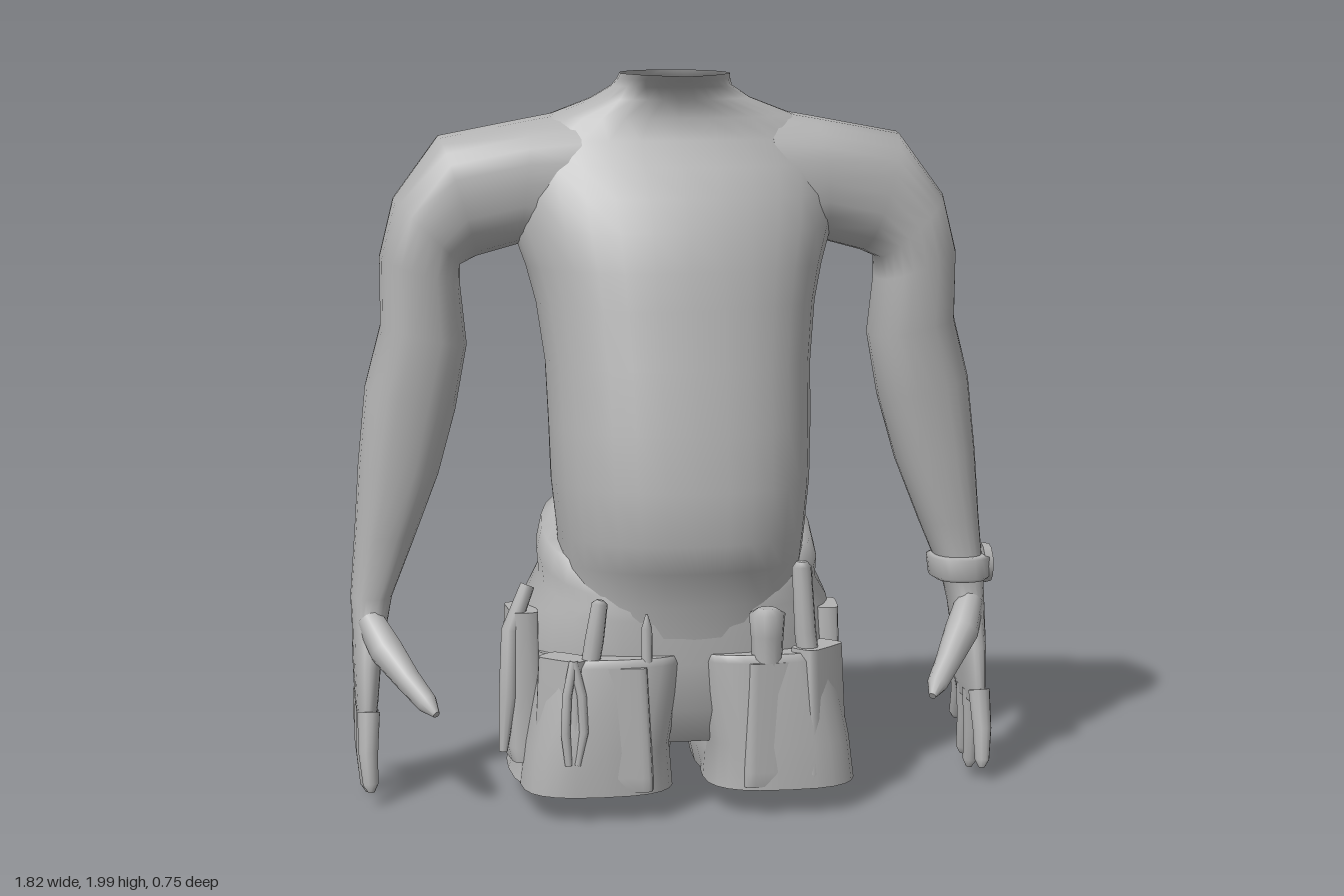
import * as THREE from 'three';

const V = (x, y, z) => new THREE.Vector3(x, y, z);
const grey = new THREE.MeshStandardMaterial({ color: 0xb2b2b2, side: THREE.DoubleSide });
grey.name = 'plain grey';

const pw = (v, n) => Math.sign(v) * Math.pow(Math.abs(v), 2 / n);

// Skin through superellipse rings { c, a, b, n, nf }; nf shapes the front half
function loft(rings, capStart = true, capEnd = true, seg = 24) {
  const pos = [], idx = [];
  const addRing = ({ c, a, b, n = 2.2, nf = n }) => {
    for (let j = 0; j < seg; j++) {
      const t = (j / seg) * Math.PI * 2, s = Math.sin(t), e = s > 0 ? nf : n;
      const p = c.clone().addScaledVector(a, pw(Math.cos(t), e)).addScaledVector(b, pw(s, e));
      pos.push(p.x, p.y, p.z);
    }
  };
  rings.forEach(addRing);
  for (let i = 0; i < rings.length - 1; i++) {
    for (let j = 0; j < seg; j++) {
      const p = i * seg + j, q = i * seg + ((j + 1) % seg);
      idx.push(p, q, p + seg, q, q + seg, p + seg);
    }
  }
  const cap = (ring, flip) => {
    const base = pos.length / 3;
    addRing(ring);
    pos.push(ring.c.x, ring.c.y, ring.c.z);
    for (let j = 0; j < seg; j++) {
      const p = base + j, q = base + ((j + 1) % seg);
      if (flip) idx.push(p, base + seg, q); else idx.push(p, q, base + seg);
    }
  };
  if (capStart) cap(rings[0], true);
  if (capEnd) cap(rings[rings.length - 1], false);
  const g = new THREE.BufferGeometry();
  g.setAttribute('position', new THREE.Float32BufferAttribute(pos, 3));
  g.setIndex(idx);
  g.computeVertexNormals();
  return g;
}

// Level ring: y, x range, z range, front-to-back tilt, roundness
const level = (y, x0, x1, zb, zf, tilt = 0, n = 2.3, nf = n) => ({
  c: V((x0 + x1) / 2, y, (zb + zf) / 2), a: V((x1 - x0) / 2, 0, 0), b: V(0, tilt, (zf - zb) / 2), n, nf,
});
// Limb ring from an inner to an outer point
const limb = ([xi, yi, xo, yo, zb, zf]) => ({
  c: V((xi + xo) / 2, (yi + yo) / 2, (zb + zf) / 2),
  a: V((xo - xi) / 2, (yo - yi) / 2, 0), b: V(0, 0, (zf - zb) / 2), n: 2.4,
});

// Round tapering rod through points, with [x, y, z, radius] entries
function rod(pts, seg = 10) {
  const p = pts.map((q) => V(q[0], q[1], q[2]));
  const rings = pts.map((q, i) => {
    const d = p[Math.min(i + 1, p.length - 1)].clone().sub(p[Math.max(i - 1, 0)]).normalize();
    const b = d.clone().cross(V(1, 0, 0)).normalize();
    const a = b.clone().cross(d);
    return { c: p[i], a: a.multiplyScalar(q[3]), b: b.multiplyScalar(q[3]), n: 2 };
  });
  return loft(rings, true, true, seg);
}

function mirror(geo) {
  const g = geo.clone().scale(-1, 1, 1), ix = g.index.array;
  for (let i = 0; i < ix.length; i += 3) [ix[i + 1], ix[i + 2]] = [ix[i + 2], ix[i + 1]];
  return g;
}

export function createModel() {
  const model = new THREE.Group();
  model.name = 'workerTorso';
  const add = (name, geo, parent = model) => {
    const m = new THREE.Mesh(geo, grey);
    m.name = name;
    parent.add(m);
    return m;
  };
  const pair = (name, geo) => {
    add(name + 'Left', geo);
    add(name + 'Right', mirror(geo));
  };

  // Torso with neck and jaw lip, open at the top: y, half width, back z, front z, front roundness
  add('torso', loft([
    [2.0, 0.15, -0.23, 0.2, 1.4], [1.985, 0.155, -0.235, 0.16, 1.5], [1.965, 0.165, -0.25, 0.09, 2],
    [1.93, 0.22, -0.27, 0.055, 2], [1.88, 0.35, -0.29, 0.045, 2.2], [1.82, 0.44, -0.32, 0.06, 2.3],
    [1.75, 0.46, -0.35, 0.11, 2.2], [1.67, 0.46, -0.365, 0.165, 2.1], [1.58, 0.445, -0.375, 0.21, 2.1],
    [1.48, 0.41, -0.355, 0.245, 2.2], [1.38, 0.385, -0.325, 0.265, 2.3], [1.22, 0.365, -0.28, 0.305, 2.3],
    [1.05, 0.36, -0.25, 0.34, 2.3], [0.9, 0.355, -0.26, 0.365, 2.3], [0.76, 0.34, -0.26, 0.375, 2.3],
    [0.68, 0.335, -0.26, 0.345, 2.3], [0.58, 0.33, -0.25, 0.3, 2.3], [0.4, 0.33, -0.2, 0.28, 2.3],
  ].map(([y, w, zb, zf, nf]) => level(y, -w, w, zb, zf, 0, 2.2, nf)), false, true, 32));

  // Arms from the shoulders down through the palms
  pair('arm', loft([
    [0.28, 1.5, 0.26, 1.9, -0.33, 0.06], [0.43, 1.53, 0.4, 1.875, -0.31, 0.055],
    [0.54, 1.5, 0.64, 1.83, -0.285, 0.04], [0.585, 1.48, 0.765, 1.66, -0.285, 0.045],
    [0.585, 1.42, 0.805, 1.5, -0.28, 0.04], [0.568, 1.26, 0.805, 1.31, -0.28, 0.03],
    [0.6, 1.08, 0.85, 1.14, -0.27, 0.01], [0.65, 0.9, 0.872, 0.93, -0.245, 0],
    [0.72, 0.72, 0.885, 0.74, -0.215, -0.015], [0.785, 0.56, 0.9, 0.56, -0.175, -0.025],
    [0.8, 0.49, 0.898, 0.49, -0.17, 0.0], [0.82, 0.38, 0.897, 0.38, -0.195, 0.035],
    [0.83, 0.27, 0.893, 0.27, -0.205, 0.05], [0.838, 0.22, 0.888, 0.22, -0.19, 0.05],
  ].map(limb)));

  // Fingers and thumbs: knuckle z and y, tip z and y
  [[0.035, 0.26, 0.085, 0.045], [-0.035, 0.25, -0.062, 0.01],
    [-0.105, 0.25, -0.145, 0.03], [-0.17, 0.28, -0.235, 0.115]].forEach(([kz, ky, tz, ty], i) => {
    const at = (t, x, r) => [x, ky + (ty - ky) * t, kz + (tz - kz) * t, r];
    pair('finger' + (i + 1), rod([at(0, 0.862, 0.031), at(0.5, 0.866, 0.027), at(0.9, 0.862, 0.021), at(1, 0.86, 0.008)]));
  });
  pair('thumb', rod([[0.85, 0.5, -0.04, 0.04], [0.81, 0.43, 0.03, 0.048], [0.755, 0.36, 0.1, 0.036],
    [0.71, 0.31, 0.16, 0.029], [0.688, 0.285, 0.195, 0.01]]));

  // Watch on the left wrist
  const watch = new THREE.Group();
  watch.name = 'watch';
  model.add(watch);
  add('strap', loft([
    level(0.63, 0.75, 0.905, -0.18, -0.005), level(0.625, 0.738, 0.915, -0.195, 0.01),
    level(0.57, 0.745, 0.915, -0.195, 0.01), level(0.56, 0.76, 0.905, -0.18, -0.005),
  ]), watch).rotation.z = 0;
  const face = add('watchFace', new THREE.CylinderGeometry(0.055, 0.06, 0.025, 12).rotateZ(-Math.PI / 2), watch);
  face.position.set(0.905, 0.6, -0.09);

  // Waistband, seat and legs
  add('trouserSeat', loft([
    level(0.76, -0.34, 0.34, -0.27, 0.24, -0.11), level(0.755, -0.375, 0.375, -0.3, 0.27, -0.1),
    level(0.69, -0.39, 0.39, -0.305, 0.29, -0.1), level(0.63, -0.385, 0.385, -0.295, 0.29, -0.08),
    level(0.56, -0.425, 0.42, -0.325, 0.29, -0.02), level(0.42, -0.44, 0.44, -0.295, 0.29),
    level(0.29, -0.43, 0.43, -0.26, 0.28), level(0.19, -0.32, 0.32, -0.16, 0.22),
  ], true, true, 32));
  pair('trouserLeg', loft([
    level(0.44, 0.06, 0.42, -0.25, 0.26, 0, 2.6), level(0.26, 0.03, 0.445, -0.265, 0.29, 0, 2.6),
    level(0.16, 0.03, 0.45, -0.275, 0.31, 0, 2.6), level(0.08, 0.05, 0.475, -0.3, 0.32, 0, 2.6),
  ]));

  // Tool apron halves, parting in a notch at the middle
  pair('toolApron', loft([
    level(0.44, 0.015, 0.39, 0, 0.33, 0.01, 2.8), level(0.42, 0.015, 0.4, 0, 0.345, 0.01, 2.8),
    level(0.2, 0.055, 0.445, 0, 0.36, 0, 2.8), level(0.08, 0.045, 0.46, 0, 0.36, 0, 2.8),
  ]));

  // Outer pockets on the apron and hips: x, z, turn, top width, bottom width, depth, y range
  const pocket = (name, x, z, turn, wt, wb, d, y0, y1) => {
    const m = add(name, loft([
      level(y1, -wt / 2, wt / 2, -d, d * 0.7, 0, 5), level(y0 + 0.04, -wb / 2, wb / 2, -d, d, 0, 5),
      level(y0, -wb / 2, wb / 2, -d, d * 0.8, 0, 5),
    ], true, true, 16));
    m.position.set(x, 0, z);
    m.rotation.y = turn;
  };
  pocket('leftTallPocket', 0.35, 0.275, 0.75, 0.15, 0.17, 0.05, 0.08, 0.46);
  pocket('leftFrontPocket', 0.21, 0.325, 0.15, 0.13, 0.16, 0.035, 0.09, 0.43);
  pocket('rightFrontPocket', -0.2, 0.325, -0.15, 0.14, 0.17, 0.035, 0.09, 0.43);
  pocket('rightTallPocket', -0.35, 0.275, -0.75, 0.14, 0.16, 0.05, 0.08, 0.45);
  pocket('rightHipPouch', -0.45, 0.08, -1.5, 0.16, 0.22, 0.045, 0.14, 0.55);
  pocket('leftHipPouch', 0.41, 0.1, 1.45, 0.14, 0.2, 0.035, 0.1, 0.54);

  // Hook hanging at the right hip
  add('hipHook', rod([[-0.43, 0.62, 0.12, 0.02], [-0.48, 0.5, 0.14, 0.025], [-0.49, 0.32, 0.16, 0.025],
    [-0.505, 0.17, 0.17, 0.012]]));

  // Tools in the pockets
  add('hammerHandle', rod([[0.325, 0.38, 0.29, 0.03], [0.31, 0.5, 0.285, 0.03], [0.3, 0.68, 0.28, 0.027],
    [0.3, 0.695, 0.28, 0.015]]));
  add('chiselHandle', rod([[0.2, 0.38, 0.31, 0.04], [0.2, 0.5, 0.31, 0.045], [0.2, 0.56, 0.31, 0.05],
    [0.2, 0.575, 0.31, 0.025]]));
  add('pencil', rod([[-0.13, 0.38, 0.32, 0.015], [-0.13, 0.53, 0.315, 0.015], [-0.13, 0.57, 0.315, 0.003]]));
  add('screwdriverHandle', rod([[-0.29, 0.38, 0.3, 0.025], [-0.27, 0.5, 0.3, 0.026], [-0.255, 0.6, 0.3, 0.022],
    [-0.253, 0.61, 0.3, 0.01]]));
  for (const s of [-1, 1]) {
    add('plierArm', rod([[-0.33, 0.45, 0.33, 0.012], [-0.33 + s * 0.02, 0.36, 0.345, 0.013],
      [-0.33 + s * 0.025, 0.26, 0.35, 0.013], [-0.335 + s * 0.012, 0.17, 0.35, 0.01]], 8));
  }

  return model;
}
